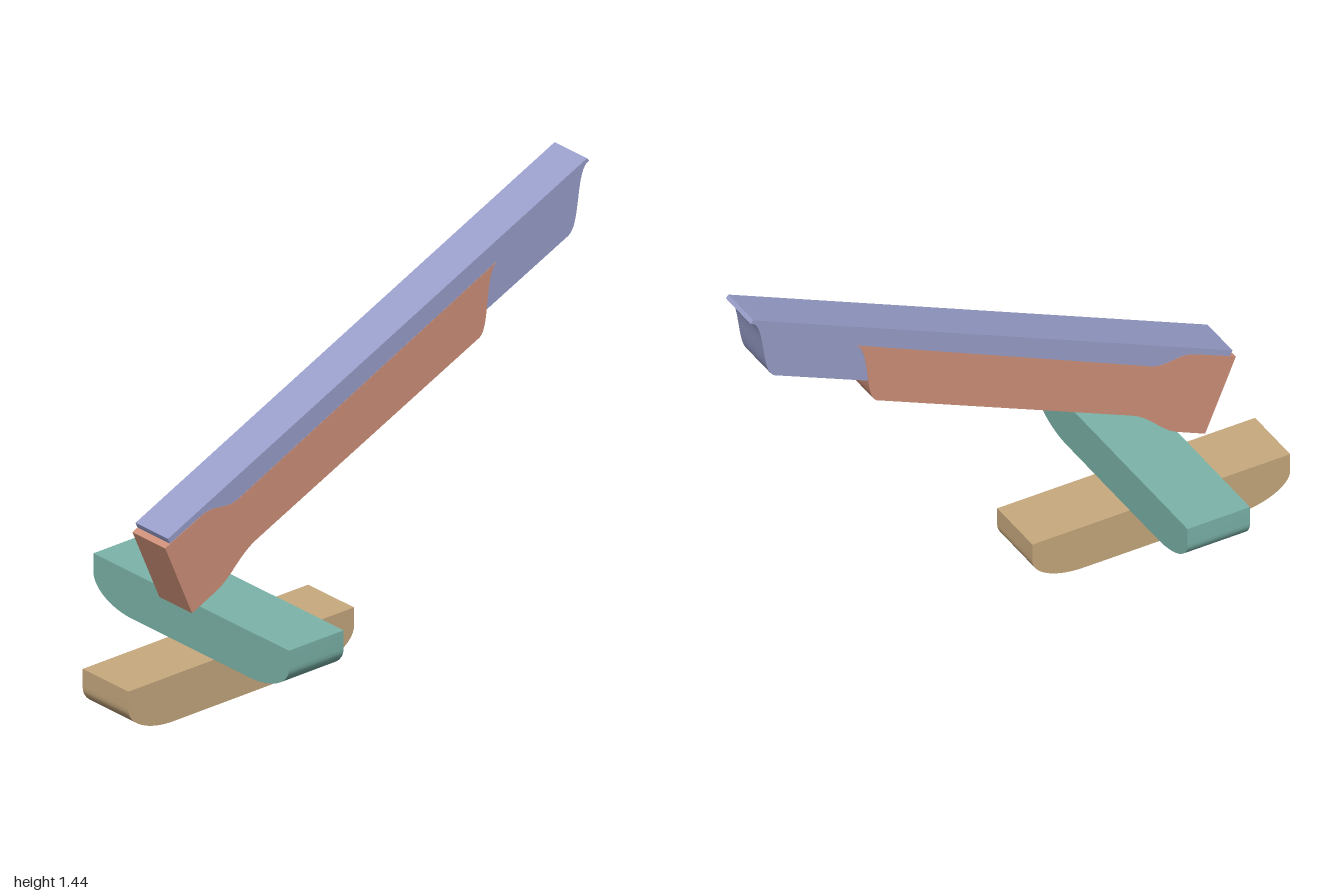
import * as THREE from 'three';
import { toCreasedNormals } from 'three/addons/utils/BufferGeometryUtils.js';

// Extrude a profile symmetrically about its own plane, smooth along curves.
function slab(shape, width) {
  const geo = new THREE.ExtrudeGeometry(shape, { depth: width, bevelEnabled: false, curveSegments: 16 });
  geo.translate(0, 0, -width / 2);
  return toCreasedNormals(geo, 0.45);
}

// Bracket arm profile: flat top, ends rounded into the flat bottom.
function armShape(half, height) {
  const rx = 0.193, ry = 0.1;
  const s = new THREE.Shape();
  s.moveTo(-half, height);
  s.lineTo(-half, ry);
  s.absellipse(-half + rx, ry, rx, ry, Math.PI, Math.PI * 1.5, false);
  s.lineTo(half - rx, 0);
  s.absellipse(half - rx, ry, rx, ry, Math.PI * 1.5, Math.PI * 2, false);
  s.lineTo(half, height);
  s.closePath();
  return s;
}

// Profiles of the slanted beams, drawn as (z, y).
function upperBeamShape() {
  const s = new THREE.Shape();
  s.moveTo(0.803, 0.64);
  s.lineTo(-0.99, 1.443);
  s.lineTo(-1.0, 1.432);
  s.bezierCurveTo(-0.94, 1.42, -0.965, 1.215, -0.91, 1.19); // curved tail
  s.lineTo(0.45, 0.587);
  s.bezierCurveTo(0.55, 0.55, 0.59, 0.7, 0.68, 0.67); // tapered lip
  s.lineTo(0.794, 0.62);
  s.closePath();
  return s;
}

function lowerBeamShape() {
  const s = new THREE.Shape();
  s.moveTo(0.815, 0.61);
  s.lineTo(0.7, 0.342);
  s.lineTo(0.6, 0.387);
  s.bezierCurveTo(0.53, 0.418, 0.5, 0.488, 0.42, 0.522); // step under the nose
  s.lineTo(-0.53, 0.945);
  s.bezierCurveTo(-0.575, 0.97, -0.55, 1.16, -0.605, 1.195); // curved tail
  s.lineTo(0.5, 0.69);
  s.bezierCurveTo(0.56, 0.665, 0.6, 0.705, 0.66, 0.678);
  s.closePath();
  return s;
}

export function createModel() {
  const group = new THREE.Group();
  const add = (name, geo, color) => {
    const mesh = new THREE.Mesh(geo, new THREE.MeshStandardMaterial({ color }));
    mesh.name = name;
    group.add(mesh);
    return mesh;
  };

  // Two crossed bracket arms
  const lengthwise = add('lengthwiseArm', slab(armShape(0.4825, 0.166), 0.226).rotateY(-Math.PI / 2), 0xc8aa7f);
  lengthwise.position.set(0, 0, 0.5175);
  const crosswise = add('crosswiseArm', slab(armShape(0.483, 0.166), 0.234), 0x7cb5ab);
  crosswise.position.set(0, 0.166, 0.517);

  // Slanted beams; the lower one is a hair wider so shared sides stay clean
  add('upperSlantedBeam', slab(upperBeamShape(), 0.16).rotateY(-Math.PI / 2), 0x9aa0cc);
  add('lowerSlantedBeam', slab(lowerBeamShape(), 0.162).rotateY(-Math.PI / 2), 0xd0917a);

  return group;
}
